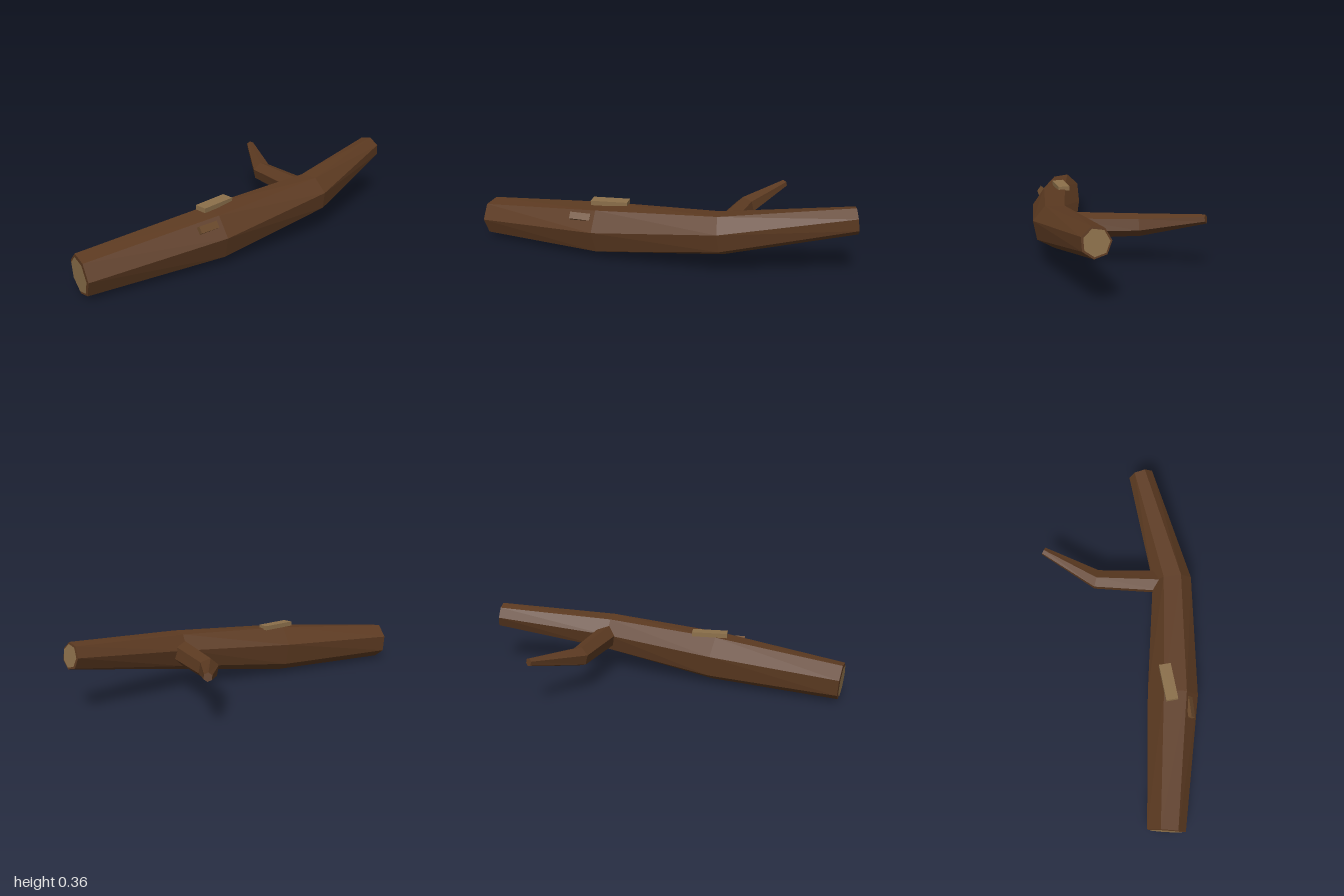
import * as THREE from 'three';

const paint = (color) => new THREE.MeshStandardMaterial({ color, flatShading: true });
const bark = paint(0x5c3a21);
const cutWood = paint(0x8b6f4a);
const chipWood = paint(0x6b4a2c);

// Rings of points around a bent path; each stop is [x, y, z, radius, phase in degrees].
function makeRings(stops, sides, side) {
  const path = stops.map((s) => new THREE.Vector3(s[0], s[1], s[2]));
  return stops.map(([, , , radius, phase], i) => {
    const before = path[Math.max(i - 1, 0)];
    const after = path[Math.min(i + 1, path.length - 1)];
    const t = after.clone().sub(before).normalize();
    const u = side.clone().addScaledVector(t, -side.dot(t)).normalize();
    const v = u.clone().cross(t);
    const points = [];
    for (let j = 0; j < sides; j++) {
      const a = THREE.MathUtils.degToRad(phase) + (j / sides) * Math.PI * 2;
      points.push(path[i].clone()
        .addScaledVector(u, Math.cos(a) * radius)
        .addScaledVector(v, Math.sin(a) * radius));
    }
    return { points, center: path[i], t };
  });
}

function meshFrom(triangles, material, name) {
  const geometry = new THREE.BufferGeometry().setFromPoints(triangles);
  geometry.computeVertexNormals();
  const mesh = new THREE.Mesh(geometry, material);
  mesh.name = name;
  return mesh;
}

// Flat fan closing a ring, scaled about its centre and pushed outwards.
function fan(ring, atEnd, scale = 1, push = 0) {
  const shift = ring.t.clone().multiplyScalar(atEnd ? push : -push);
  const c = ring.center.clone().add(shift);
  const pts = ring.points.map((p) => p.clone().sub(ring.center).multiplyScalar(scale).add(c));
  return pts.flatMap((p, j) => {
    const q = pts[(j + 1) % pts.length];
    return atEnd ? [c, q, p] : [c, p, q];
  });
}

function limb(rings, name) {
  const tris = [];
  for (let i = 0; i < rings.length - 1; i++) {
    const a = rings[i].points, b = rings[i + 1].points;
    for (let j = 0; j < a.length; j++) {
      const k = (j + 1) % a.length;
      tris.push(a[j], b[j], a[k], a[k], b[j], b[k]);
    }
  }
  tris.push(...fan(rings[0], false), ...fan(rings[rings.length - 1], true));
  return meshFrom(tris, bark, name);
}

function box(name, size, position, rotation, material) {
  const mesh = new THREE.Mesh(new THREE.BoxGeometry(...size), material);
  mesh.name = name;
  mesh.position.set(...position);
  mesh.rotation.set(...rotation);
  return mesh;
}

export function createModel() {
  const model = new THREE.Group();
  model.name = 'fallenLog';

  // Seven-sided bent trunk
  const trunk = makeRings([
    [-0.982, 0.105, 0.134, 0.102, 4],
    [-0.29, 0.14, 0.236, 0.137, 9],
    [0.345, 0.204, 0.295, 0.109, 15],
    [0.98, 0.297, 0.178, 0.069, 22],
  ], 7, new THREE.Vector3(0, 0, 1));
  model.add(limb(trunk, 'trunk'));

  // Pale sawn faces on both ends
  model.add(meshFrom(fan(trunk[0], false, 0.86, 0.004), cutWood, 'rightCutFace'));
  model.add(meshFrom(fan(trunk[3], true, 0.86, 0.004), cutWood, 'leftCutFace'));

  // Six-sided side branch
  const branch = makeRings([
    [0.345, 0.205, 0.24, 0.065, -16],
    [0.388, 0.205, -0.12, 0.055, -16],
    [0.556, 0.265, -0.4, 0.022, -16],
  ], 6, new THREE.Vector3(1, 0, 0));
  model.add(limb(branch, 'branch'));

  // Stripped patch on top and a bark chip on the front
  model.add(box('strippedPatch', [0.193, 0.024, 0.062], [-0.258, 0.279, 0.211], [0.03, 0.1, 0], cutWood));
  model.add(box('barkChip', [0.11, 0.02, 0.036], [-0.385, 0.222, 0.316], [0.95, 0, -0.03], chipWood));
  return model;
}
